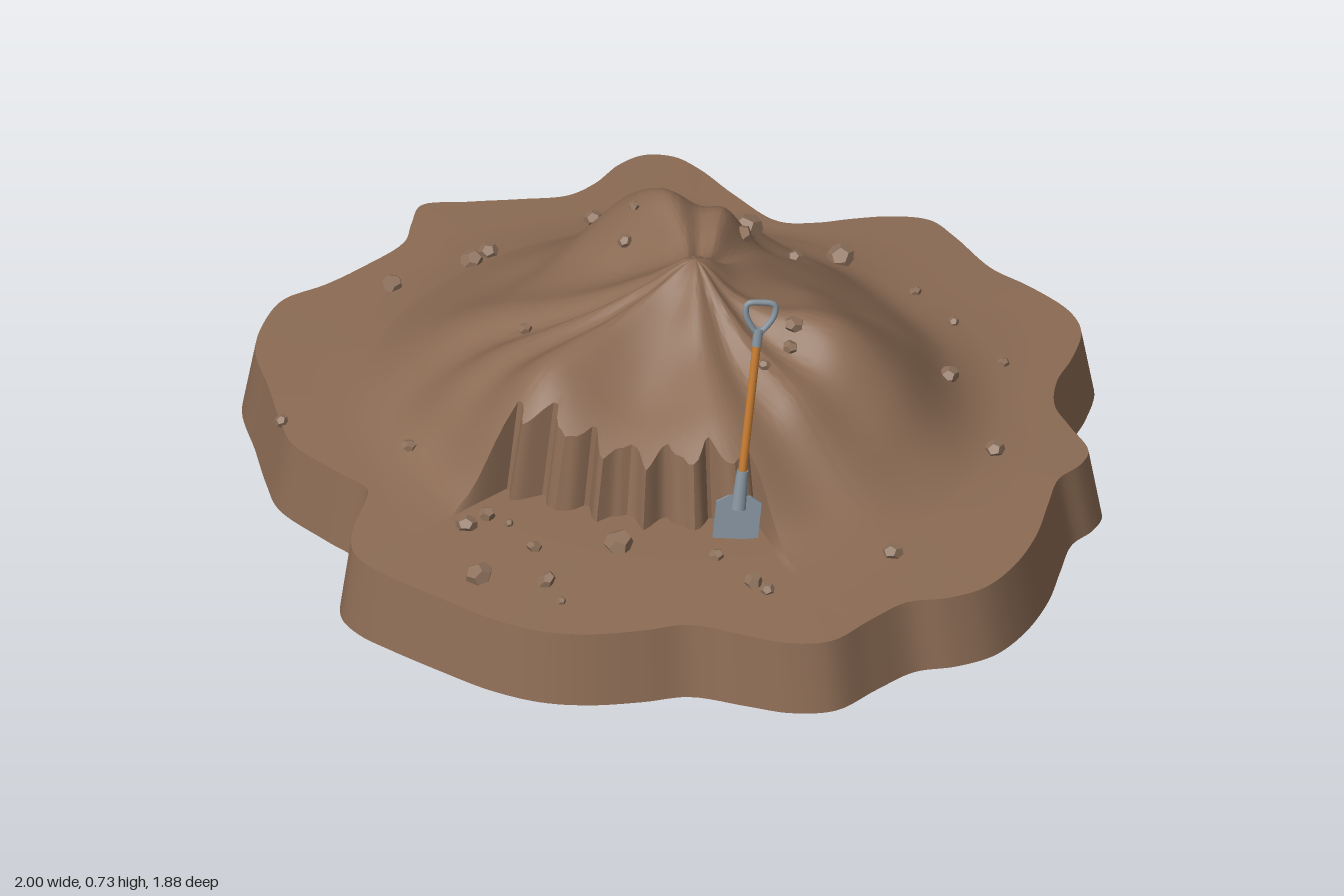
import * as THREE from 'three';
import { toCreasedNormals } from 'three/addons/utils/BufferGeometryUtils.js';

// Wavy outline of the plot, as x, z pairs
const OUTLINE = [
  -.18, -.94, -.09, -.935, .06, -.91, .17, -.925, .3, -.925, .38, -.89, .45, -.8, .5, -.71, .57, -.64, .65, -.61,
  .75, -.575, .78, -.52, .79, -.45, .85, -.36, .92, -.26, .975, -.14, .995, -.03, .97, .06, .925, .14, .92, .25,
  .92, .37, .86, .45, .78, .5, .665, .57, .61, .66, .54, .755, .46, .825, .35, .875, .22, .905, .085, .93, 0, .94,
  -.075, .925, -.14, .865, -.2, .775, -.23, .745, -.32, .745, -.48, .74, -.57, .695, -.69, .62, -.82, .54,
  -.89, .45, -.93, .35, -.91, .245, -.905, .14, -.915, 0, -.96, -.065, -1, -.135, -.94, -.22, -.865, -.315,
  -.805, -.4, -.8, -.48, -.82, -.57, -.81, -.64, -.76, -.685, -.69, -.695, -.55, -.68, -.4, -.68, -.34, -.74,
  -.3, -.81, -.245, -.89];

// Mound heights at radius 0.1 to 0.7, one row every 30 degrees from +x towards +z
const PROFILES = [
  [.52, .46, .42, .38, .29, .22, .18], [.52, .45, .41, .37, .30, .21, .18], [.51, .45, .40, .36, .30, .22, .18],
  [.52, .48, .46, .43, .34, .21, .18], [.51, .45, .41, .37, .31, .22, .18], [.50, .43, .38, .35, .31, .25, .185],
  [.50, .44, .41, .36, .28, .23, .185], [.51, .52, .53, .47, .36, .25, .185], [.51, .52, .50, .39, .33, .23, .185],
  [.51, .46, .40, .34, .27, .20, .18], [.51, .47, .44, .38, .31, .22, .18], [.51, .48, .48, .45, .36, .24, .18]];

// Loose stones: x, z, radius
const STONES = [
  -.165, -.635, .03, .03, -.68, .013, .175, -.66, .012, .36, -.64, .012, -.085, -.43, .016, -.18, -.37, .036,
  -.085, -.27, .024, -.66, -.355, .022, -.52, -.48, .012, .375, -.465, .022, .6, -.395, .023, -.27, -.12, .012,
  -.235, -.06, .016, -.72, -.1, .02, -.715, -.045, .024, -.77, .14, .022, .27, -.1, .02, .29, -.07, .018,
  .295, .01, .014, .745, .04, .021, -.235, .235, .015, -.245, .57, .017, -.545, .675, .015, .045, .605, .02,
  .04, .66, .022, .1, .59, .01, .205, .61, .017, .2, .77, .03, .315, .675, .021, .39, .7, .01, .325, .47, .03,
  .5, .34, .015, .625, .345, .021, .665, .34, .015];

const cubic = (a, b, c, d, t) =>
  b + .5 * t * (c - a + t * (2 * a - 5 * b + 4 * c - d + t * (3 * (b - c) + d - a)));
const degrees = (x, z) => (Math.atan2(z, x) * 180 / Math.PI + 360) % 360;
const inCut = deg => deg > 21 && deg < 91;

// Foot of the fluted dig face
function cutRadius(deg) {
  if (!inCut(deg)) return .5;
  const zigzag = Math.asin(Math.sin(deg * Math.PI / 6)) * .64;
  return .465 + .04 * ((deg - 56) / 35) ** 2 + .027 * zigzag + .008 * Math.sin(deg * .9);
}

function profileAt(row, r) {
  const p = PROFILES[(row + 12) % 12], s = Math.min(r / .1, 6.999), k = Math.floor(s);
  const at = i => i <= 0 ? (i < 0 ? p[0] : .575) : p[Math.min(i, 7) - 1];
  return cubic(at(k - 1), at(k), at(k + 1), at(k + 2), s - k);
}

function heightAt(deg, r) {
  const ground = .183 - .018 * Math.max(0, Math.min(1, (r - .6) / .35));
  if (r >= .7 || (inCut(deg) && r >= cutRadius(deg) - .001)) return ground;
  const s = deg / 30, k = Math.floor(s), a = deg * Math.PI / 180;
  const h = cubic(...[-1, 0, 1, 2].map(i => profileAt(k + i, r)), s - k);
  const crease = .013 * Math.sin(9 * a + 2 * Math.sin(3 * a) + 4 * r) * Math.sin(Math.PI * Math.min(1, r / .65));
  return Math.max(ground, h + crease);
}

// Surface through columns of points, each column a list of Vector3
function loft(columns) {
  const rows = columns[0].length, pos = [], index = [];
  columns.forEach(c => c.forEach(p => pos.push(p.x, p.y, p.z)));
  for (let i = 0; i < columns.length - 1; i++) for (let j = 0; j < rows - 1; j++) {
    const a = i * rows + j, b = a + rows;
    if (j > 0) index.push(a, b, a + 1);
    else if (columns[i][0].distanceTo(columns[i + 1][0]) > 1e-6) index.push(a, b, a + 1);
    index.push(b, b + 1, a + 1);
  }
  const g = new THREE.BufferGeometry();
  g.setAttribute('position', new THREE.Float32BufferAttribute(pos, 3));
  g.setIndex(index);
  return toCreasedNormals(g, .6);
}

export function createModel() {
  const model = new THREE.Group();
  const material = (name, color, extra) => new THREE.MeshStandardMaterial({ name, color, ...extra });
  const soil = material('soil brown', 0x8b6b54, { side: THREE.DoubleSide });
  const stone = material('stone brown', 0x8b6f5a, { flatShading: true });
  const steel = material('steel', 0x84919c, { side: THREE.DoubleSide });
  const wood = material('orange wood', 0xc47a30);
  const add = (parent, name, geometry, mat, x = 0, y = 0, z = 0) => {
    const m = new THREE.Mesh(geometry, mat);
    m.name = name;
    m.position.set(x, y, z);
    parent.add(m);
    return m;
  };

  // Ground with mound, and the skirt around it (open underneath)
  const corners = [];
  for (let i = 0; i < OUTLINE.length; i += 2) corners.push(new THREE.Vector3(OUTLINE[i], 0, OUTLINE[i + 1]));
  const rim = new THREE.CatmullRomCurve3(corners, true).getPoints(360);
  const ground = [], skirt = [];
  for (const p of rim) {
    const deg = degrees(p.x, p.z), R = Math.hypot(p.x, p.z), edge = R - .03, foot = cutRadius(deg);
    const radii = [];
    for (let j = 0; j <= 18; j++) radii.push((foot - .04) * j / 18);
    radii.push(foot);
    for (let j = 1; j <= 8; j++) radii.push(foot + (.71 - foot) * j / 8);
    radii.push((.71 + edge) / 2, edge);
    ground.push(radii.map(r => {
      const lean = .04 * Math.max(0, 1 - r / .4);
      return new THREE.Vector3(p.x / R * r + lean, heightAt(deg, r), p.z / R * r - lean / 2);
    }));
    skirt.push([ground.at(-1).at(-1).clone(), p.clone()]);
  }
  add(model, 'moundAndGround', loft(ground), soil);
  add(model, 'groundSkirt', loft(skirt), soil);

  // Stones
  let seed = 7;
  const rand = () => (seed = (seed * 16807) % 2147483647) / 2147483647;
  const stones = new THREE.Group();
  stones.name = 'looseStones';
  model.add(stones);
  for (let i = 0; i < STONES.length; i += 3) {
    const [x, z, r] = STONES.slice(i, i + 3);
    const y = heightAt(degrees(x, z), Math.hypot(x, z)) + r * .35;
    const m = add(stones, 'stone', new THREE.DodecahedronGeometry(r * 1.1), stone, x, y, z);
    m.scale.set(1, .65 + .2 * rand(), .8 + .3 * rand());
    m.rotation.set(rand() * .5, rand() * 6, rand() * .5);
  }

  // Shovel, modelled upright from the blade tip and then leaned
  const shovel = new THREE.Group();
  shovel.name = 'shovel';
  model.add(shovel);
  const blade = new THREE.Shape();
  blade.moveTo(-.05, 0);
  blade.lineTo(.05, 0);
  blade.lineTo(.05, .085);
  blade.lineTo(.025, .1);
  blade.lineTo(-.025, .1);
  blade.lineTo(-.05, .085);
  add(shovel, 'blade', new THREE.ExtrudeGeometry(blade, { depth: .008, bevelEnabled: false }), steel, 0, 0, -.004);
  add(shovel, 'socket', new THREE.CylinderGeometry(.013, .017, .09, 12), steel, 0, .115, 0);
  add(shovel, 'shaft', new THREE.CylinderGeometry(.0095, .0095, .34, 12), wood, 0, .31, 0);
  add(shovel, 'gripSocket', new THREE.CylinderGeometry(.011, .011, .04, 12), steel, 0, .475, 0);
  const loop = [[0, .485], [.02, .505], [.032, .53], [.03, .552], [0, .557], [-.03, .552], [-.032, .53], [-.02, .505]]
    .map(([x, y]) => new THREE.Vector3(x, y, 0));
  add(shovel, 'grip', new THREE.TubeGeometry(new THREE.CatmullRomCurve3(loop, true), 40, .007, 8, true), steel);
  const up = new THREE.Vector3(-.05, .545, -.125).normalize();
  const side = new THREE.Vector3(.55, 0, -.83);
  side.addScaledVector(up, -side.dot(up)).normalize();
  shovel.quaternion.setFromRotationMatrix(new THREE.Matrix4().makeBasis(side, up, side.clone().cross(up)));
  shovel.position.set(.475, .185, .262);
  return model;
}
